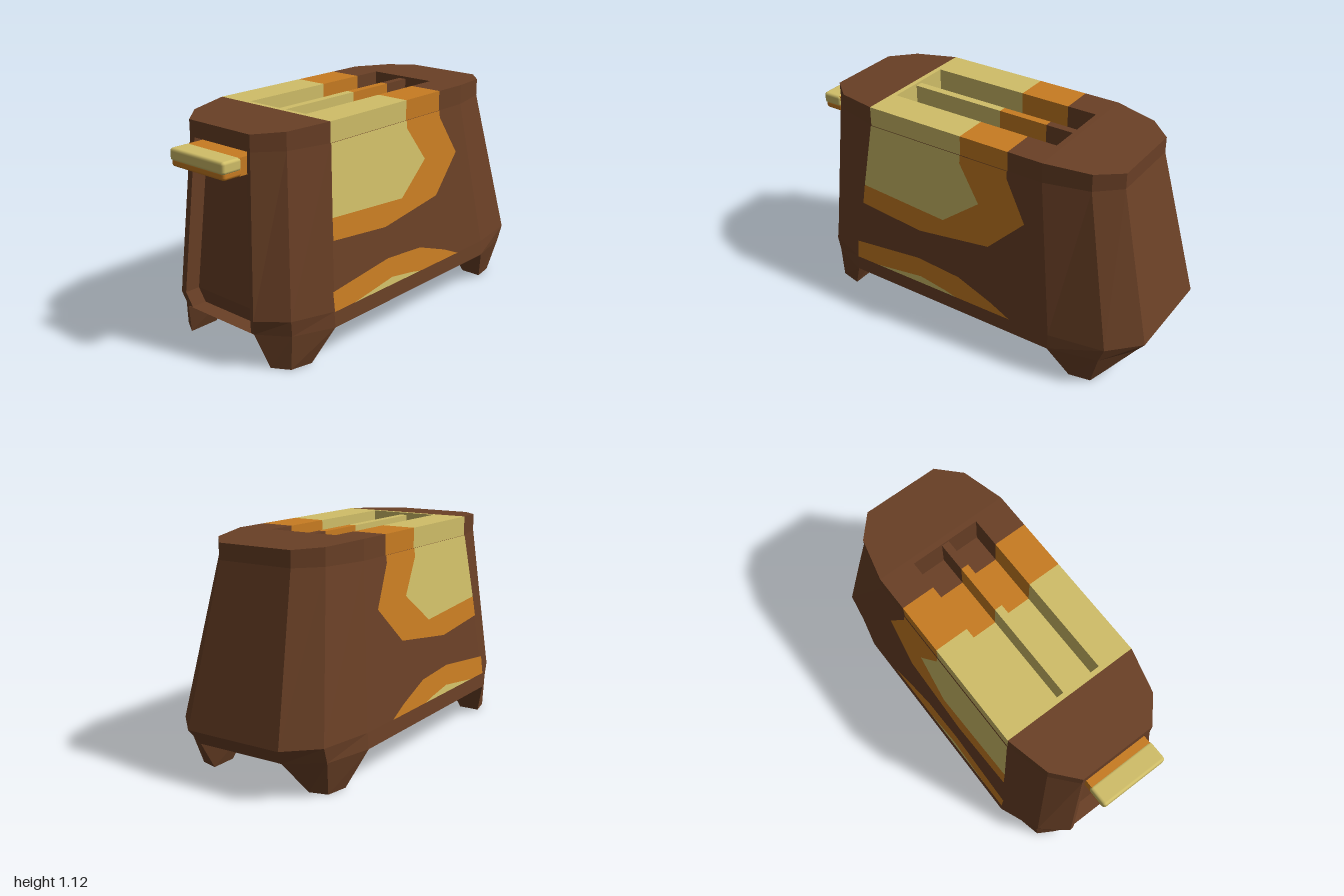
import * as THREE from 'three';
import { RoundedBoxGeometry } from 'three/addons/geometries/RoundedBoxGeometry.js';

const mat = (name, color) => {
  const m = new THREE.MeshStandardMaterial({ color, side: THREE.DoubleSide });
  m.name = name;
  return m;
};

// flat-shaded geometry from a list of quads, each with four [x, y, z] corners
function quads(list) {
  const pos = [];
  for (const [a, b, c, d] of list) pos.push(...a, ...b, ...c, ...a, ...c, ...d);
  const g = new THREE.BufferGeometry();
  g.setAttribute('position', new THREE.Float32BufferAttribute(pos, 3));
  g.computeVertexNormals();
  return g;
}

const shapeOf = (pts) => new THREE.Shape(pts.map(([x, y]) => new THREE.Vector2(x, y)));

// half outlines (x, z) running from the lever-free end to the lever end
const LOW = [[0.945, 0.235], [0.83, 0.4], [0.58, 0.458], [-0.6, 0.458], [-0.8, 0.375], [-0.9, 0.23]];
const WIDE = [[1, 0.26], [0.86, 0.405], [0.58, 0.452], [-0.6, 0.452], [-0.81, 0.38], [-0.92, 0.25]];
const SHOULDER = [[0.81, 0.2], [0.695, 0.305], [0.47, 0.36], [-0.52, 0.36], [-0.74, 0.305], [-0.86, 0.2]];
const LEVELS = [[0.172, LOW], [0.25, WIDE], [1.02, SHOULDER]];
const TOP = 1.12;

export function createModel() {
  const brown = mat('brown', 0x6a4026);
  const orange = mat('orange', 0xc87c22);
  const pale = mat('pale yellow', 0xd0be68);
  const model = new THREE.Group();
  model.name = 'toaster';
  const add = (name, geo, material, parent = model) => {
    const m = new THREE.Mesh(geo, material);
    m.name = name;
    parent.add(m);
    return m;
  };
  const box = (name, x0, x1, y0, y1, z0, z1, material, r = 0) => {
    const s = [x1 - x0, y1 - y0, z1 - z0];
    const g = r ? new RoundedBoxGeometry(...s, 2, r) : new THREE.BoxGeometry(...s);
    add(name, g, material).position.set((x0 + x1) / 2, (y0 + y1) / 2, (z0 + z1) / 2);
  };

  // tapered shell, open at the lever end
  const loops = LEVELS.map(([y, half]) => [
    ...half.map(([x, z]) => [x, y, z]),
    ...[...half].reverse().map(([x, z]) => [x, y, -z]),
  ]);
  const shell = [];
  for (let k = 0; k < 2; k++) {
    for (let i = 0; i < 12; i++) {
      if (i === 5) continue;
      const j = (i + 1) % 12;
      shell.push([loops[k][j], loops[k][i], loops[k + 1][i], loops[k + 1][j]]);
    }
  }
  add('shell', quads(shell), brown);

  // underside
  const base = new THREE.ShapeGeometry(shapeOf(loops[0].map(([x, , z]) => [x, z])));
  base.rotateX(Math.PI / 2).translate(0, LEVELS[0][0], 0);
  add('underside', base, brown);

  // recessed panel at the lever end
  const flip = ([x, y, z]) => [x, y, -z];
  const outer = loops.map((l) => l[5]);
  const inner = outer.map(([x, y, z]) => [x + 0.005, y, z - 0.025]);
  const back = inner.map(([x, y, z]) => [x + 0.08, y, z]);
  const recess = [[outer[0], flip(outer[0]), flip(back[0]), back[0]]];
  for (let k = 0; k < 2; k++) {
    for (const [a, b] of [[outer, inner], [inner, back]]) {
      recess.push([a[k], a[k + 1], b[k + 1], b[k]]);
      recess.push([b[k], b[k + 1], a[k + 1], a[k]].map(flip));
    }
    recess.push([back[k], back[k + 1], flip(back[k + 1]), flip(back[k])]);
  }
  add('leverRecess', quads(recess), brown);

  // end caps of the top, sloping down slightly to the outside
  for (const part of [SHOULDER.slice(0, 3), SHOULDER.slice(3)]) {
    const pts = [...part, ...[...part].reverse().map(([x, z]) => [x, -z])];
    const g = new THREE.ExtrudeGeometry(shapeOf(pts), { depth: 0.1, bevelEnabled: false });
    g.rotateX(-Math.PI / 2).translate(0, 1.02, 0);
    const p = g.attributes.position;
    for (let i = 0; i < p.count; i++) {
      const x = p.getX(i);
      if (p.getY(i) > 1.1 && Math.abs(x + 0.025) > 0.55) p.setY(i, x > 0.75 || x < -0.8 ? 1.1 : 1.107);
    }
    g.computeVertexNormals();
    add('topEnd', g, brown);
  }

  // top rails, slot floors and slot ends in three colour bands
  const FLOOR = 0.95;
  for (const [x0, x1, m] of [[-0.52, 0.02, pale], [0.02, 0.285, orange], [0.285, 0.47, brown]]) {
    for (const s of [-1, 1]) {
      box('sideRail', x0, x1, FLOOR, TOP, s > 0 ? 0.185 : -0.36, s > 0 ? 0.36 : -0.185, m);
    }
    box('middleRail', x0, x1, FLOOR, TOP - 0.012, -0.02, 0.02, m);
    box('slotFloor', x0, x1, FLOOR - 0.02, FLOOR, -0.2, 0.2, m);
  }
  box('slotEnd', -0.52, -0.495, FLOOR, TOP, -0.185, 0.185, pale);
  box('slotEnd', 0.44, 0.47, FLOOR, TOP, -0.185, 0.185, brown);

  // painted patches on both broad sides
  const faceZ = (y) => 0.36 + ((1.02 - y) / 0.77) * 0.092 + 0.004;
  const patches = [
    [pale, [[-0.52, 1.02], [-0.557, 0.685], [-0.06, 0.652], [0.14, 0.805], [0.02, 0.98], [0.02, 1.02]]],
    [orange, [[-0.557, 0.685], [-0.566, 0.58], [-0.2, 0.545], [0.21, 0.6], [0.4, 0.785], [0.285, 0.985],
      [0.285, 1.02], [0.02, 1.02], [0.02, 0.98], [0.14, 0.805], [-0.06, 0.652]]],
    [orange, [[-0.6, 0.25], [-0.6, 0.345], [-0.2, 0.388], [0.05, 0.37], [0.25, 0.3], [0.36, 0.25],
      [0.04, 0.25], [-0.03, 0.265], [-0.18, 0.287], [-0.46, 0.25]]],
    [pale, [[-0.46, 0.25], [-0.18, 0.287], [-0.03, 0.265], [0.04, 0.25]]],
  ];
  for (const s of [1, -1]) {
    for (const [m, pts] of patches) {
      const g = new THREE.ShapeGeometry(shapeOf(pts));
      const p = g.attributes.position;
      for (let i = 0; i < p.count; i++) p.setZ(i, s * faceZ(p.getY(i)));
      if (s < 0) g.setIndex([...g.index.array].reverse());
      g.computeVertexNormals();
      add('paintPatch', g, m);
    }
  }

  // feet, tapering from the underside to a small sole
  const feet = [
    [[[0.945, 0.235], [0.83, 0.4], [0.58, 0.458], [0.6, 0.215]],
      [[0.805, 0.28], [0.78, 0.37], [0.67, 0.39], [0.67, 0.28]]],
    [[[-0.6, 0.458], [-0.8, 0.375], [-0.9, 0.23], [-0.62, 0.215]],
      [[-0.69, 0.39], [-0.8, 0.365], [-0.85, 0.28], [-0.69, 0.28]]],
  ];
  for (const s of [1, -1]) {
    for (const [up, down] of feet) {
      const a = up.map(([x, z]) => [x, 0.172, s * z]);
      const b = down.map(([x, z]) => [x, 0, s * z]);
      const faces = a.map((_, i) => [b[(i + 1) % 4], b[i], a[i], a[(i + 1) % 4]]);
      faces.push([b[0], b[1], b[2], b[3]]);
      add('foot', quads(s > 0 ? faces : faces.map((f) => [...f].reverse())), brown);
    }
  }

  // lever with an orange stem and lower half
  box('leverGrip', -1, -0.89, 0.94, 1, -0.18, 0.18, pale, 0.015);
  box('leverUnderside', -0.995, -0.885, 0.912, 0.955, -0.176, 0.176, orange, 0.015);
  box('leverStem', -0.9, -0.76, 0.914, 0.998, -0.172, 0.172, orange);
  return model;
}
